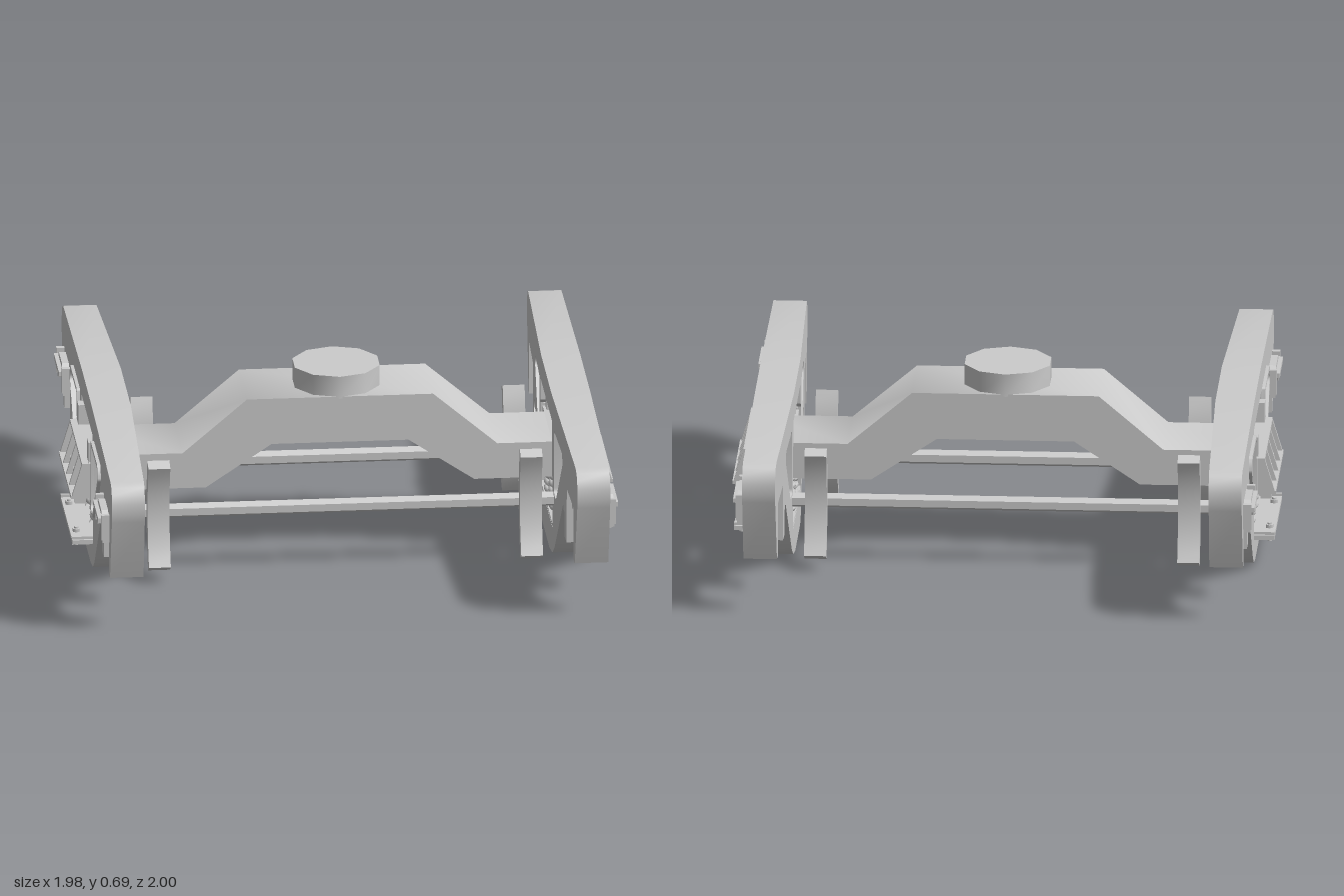
import * as THREE from 'three';
import { toCreasedNormals } from 'three/addons/utils/BufferGeometryUtils.js';

const material = new THREE.MeshStandardMaterial({ color: 0xcccccc });

function add(parent, name, geometry, x = 0, y = 0, z = 0) {
  const mesh = new THREE.Mesh(geometry, material);
  mesh.name = name;
  mesh.position.set(x, y, z);
  parent.add(mesh);
  return mesh;
}

// Box given by its limits on each axis
function block(parent, name, x0, x1, y0, y1, z0, z1) {
  return add(parent, name, new THREE.BoxGeometry(x1 - x0, y1 - y0, z1 - z0),
    (x0 + x1) / 2, (y0 + y1) / 2, (z0 + z1) / 2);
}

// Counter-clockwise shape, so that walls of holes face the right way
function shapeOf(pts) {
  const v = pts.map((p) => new THREE.Vector2(...p));
  return new THREE.Shape(THREE.ShapeUtils.isClockWise(v) ? v.reverse() : v);
}

// Extrude a (z, y) outline with optional holes along x
function extrudeX(outline, x0, x1, holes = []) {
  const turn = (pts) => shapeOf(pts.map(([z, y]) => [-z, y]));
  const shape = turn(outline);
  shape.holes = holes.map(turn);
  const g = new THREE.ExtrudeGeometry(shape, { depth: x1 - x0, bevelEnabled: false });
  g.translate(0, 0, x0).rotateY(Math.PI / 2);
  return toCreasedNormals(g, 0.6);
}

// Polygon with rounded corners
function roundedPoints(pts, r) {
  const path = new THREE.Path();
  const v = pts.map((p) => new THREE.Vector2(...p));
  v.forEach((p, i) => {
    const before = v[(i + v.length - 1) % v.length], after = v[(i + 1) % v.length];
    const a = p.clone().add(before.clone().sub(p).setLength(r));
    const b = p.clone().add(after.clone().sub(p).setLength(r));
    if (i === 0) path.moveTo(a.x, a.y); else path.lineTo(a.x, a.y);
    path.quadraticCurveTo(p.x, p.y, b.x, b.y);
  });
  return path.getPoints(4).map((p) => [p.x, p.y]);
}

const mirror = (pts) => pts.map(([a, b]) => [-a, b]);
const symmetric = (half) => [...half, ...mirror(half).reverse()];
const windowOuter = roundedPoints([[0.56, 0.465], [0.54, 0.518], [0.27, 0.518], [0.27, 0.255], [0.315, 0.237], [0.36, 0.25]], 0.016);
const windowInner = roundedPoints([[0.545, 0.465], [0.53, 0.503], [0.285, 0.503], [0.285, 0.267], [0.315, 0.252], [0.35, 0.262]], 0.014);

function sideFrame(side) {
  const half = [
    [0.15, 0], [0.24, 0.015], [0.30, 0.055], [0.34, 0.095], [0.565, 0.32], [0.58, 0.303], [0.60, 0.303],
    [0.612, 0.285], [0.612, 0.265], [0.60, 0.25], [0.60, 0.21], [0.67, 0.21], [0.675, 0.42], [0.885, 0.42],
    [0.885, 0.22], [0.92, 0.22], [0.995, 0.46], [1, 0.49], [1, 0.53], [0.99, 0.562], [0.972, 0.585],
    [0.94, 0.596], [0.2, 0.62],
  ];
  const opening = [[0.245, 0.11], [0.245, 0.42], [0.22, 0.44], [0.22, 0.52]];
  const g = extrudeX(symmetric(half), 0.765, 0.91, [windowInner, mirror(windowInner), symmetric(opening)]);
  // The inner face tapers towards the ends
  const p = g.attributes.position;
  for (let i = 0; i < p.count; i++) {
    if (p.getX(i) < 0.8) p.setX(i, 0.762 + 0.028 * Math.abs(p.getZ(i)));
  }
  add(side, 'sideFrame', g);

  for (const s of [-1, 1]) {
    // Raised lip around the triangular window
    const [outer, inner] = [windowOuter, windowInner].map((w) => (s > 0 ? w : mirror(w)));
    add(side, 'windowLip', extrudeX(outer, 0.9, 0.922, [inner]));

    // Guide strip beside the central opening
    const z = s * 0.245;
    block(side, 'columnGuide', 0.78, 0.925, 0.28, 0.42, z - 0.01, z + 0.01);

    // Arched axle bearing adapter
    const adapter = [[-0.108, 0.345], [-0.108, 0.425], [-0.085, 0.435], [-0.06, 0.455],
      [0.06, 0.455], [0.085, 0.435], [0.108, 0.425], [0.108, 0.345]];
    for (let i = 0; i <= 10; i++) {
      const a = Math.PI * i / 10;
      adapter.push([0.095 * Math.cos(a), 0.345 + 0.065 * Math.sin(a)]);
    }
    add(side, 'bearingAdapter', extrudeX(adapter, 0.8, 0.935), 0, 0, s * 0.78);
    block(side, 'adapterLip', 0.9, 0.95, 0.42, 0.437, s * 0.78 - 0.1, s * 0.78 + 0.1);
    for (const e of [-1, 1]) {
      const c = s * 0.78 + e * 0.112;
      block(side, 'adapterLug', 0.88, 0.94, 0.36, 0.455, c - 0.01, c + 0.01);
    }
  }
}

// Coil running up the y axis
class Helix extends THREE.Curve {
  constructor(radius, height, turns) {
    super();
    Object.assign(this, { radius, height, turns });
  }
  getPoint(t, target = new THREE.Vector3()) {
    const a = t * this.turns * Math.PI * 2;
    return target.set(this.radius * Math.cos(a), this.height * t, this.radius * Math.sin(a));
  }
}

function suspension(side) {
  block(side, 'springSeat', 0.77, 0.985, 0.105, 0.12, -0.24, 0.24);
  for (const s of [-1, 1]) {
    add(side, 'outerSpring', new THREE.TubeGeometry(new Helix(0.06, 0.145, 5), 100, 0.011, 6), 0.838, 0.13, s * 0.088);
    add(side, 'innerSpring', new THREE.TubeGeometry(new Helix(0.033, 0.145, 7), 110, 0.007, 5), 0.838, 0.13, s * 0.088);
    add(side, 'seatBolt', new THREE.CylinderGeometry(0.008, 0.008, 0.07, 8), 0.962, 0.105, s * 0.145);
    add(side, 'boltNut', new THREE.CylinderGeometry(0.016, 0.016, 0.014, 6), 0.962, 0.094, s * 0.145);
    add(side, 'boltHead', new THREE.CylinderGeometry(0.015, 0.015, 0.012, 6), 0.962, 0.127, s * 0.145);
    block(side, 'seatStop', 0.9, 0.985, 0.1, 0.13, s * 0.225 - 0.006, s * 0.225 + 0.006);
  }
}

function bolsterEnd(side) {
  block(side, 'endPlate', 0.9, 0.93, 0.28, 0.415, -0.24, 0.24);
  block(side, 'endShelf', 0.9, 0.99, 0.28, 0.292, -0.24, 0.24);
  block(side, 'endTop', 0.9, 0.95, 0.403, 0.415, -0.24, 0.24);
  block(side, 'endBody', 0.775, 0.91, 0.28, 0.415, -0.225, 0.225);
  // Triangular stiffening ribs
  for (let i = -2; i <= 2; i++) {
    const rib = shapeOf([[0.92, 0.285], [0.988, 0.285], [0.95, 0.41], [0.92, 0.41]]);
    const g = new THREE.ExtrudeGeometry(rib, { depth: 0.012, bevelEnabled: false });
    add(side, 'endRib', g, 0, 0, i * 0.117 - 0.006);
  }
  for (const s of [-1, 1]) {
    block(side, 'frictionWedge', 0.785, 0.925, 0.41, 0.49, s * 0.2 - 0.024, s * 0.2 + 0.024);
    const clip = [[-0.02, 0.29], [0.02, 0.29], [0.012, 0.335], [-0.012, 0.335]];
    add(side, 'springClip', extrudeX(clip, 0.925, 0.965), 0, 0, s * 0.06);
    block(side, 'shelfPad', 0.935, 0.975, 0.262, 0.282, s * 0.23 - 0.01, s * 0.23 + 0.01);
  }
}

function brake(parent) {
  // Hexagonal bar with an edge on top
  const bar = new THREE.CylinderGeometry(0.027, 0.027, 1.55, 6).rotateY(Math.PI / 2).rotateZ(Math.PI / 2);
  add(parent, 'brakeBeam', toCreasedNormals(bar, 0.5), 0, 0.2325, 0.262);
  // Curved shoes facing the wheels
  const pts = [];
  for (const [r, from, to] of [[0.455, 0.42, -0.53], [0.41, -0.53, 0.42]]) {
    for (let i = 0; i <= 10; i++) {
      const a = from + (to - from) * i / 10;
      pts.push([0.755 - r * Math.cos(a), 0.27 + r * Math.sin(a)]);
    }
  }
  for (const s of [-1, 1]) {
    add(parent, 'brakeShoe', extrudeX(pts, s * 0.68 - 0.04, s * 0.68 + 0.04));
    block(parent, 'brakeHead', s * 0.665 - 0.02, s * 0.665 + 0.02, 0.19, 0.30, 0.235, 0.32);
  }
}

function twoWays(root, name, build) {
  for (let i = 0; i < 2; i++) {
    const group = new THREE.Group();
    group.name = name;
    group.rotation.y = i * Math.PI;
    build(group);
    root.add(group);
  }
}

export function createModel() {
  const root = new THREE.Group();
  root.name = 'railTruck';

  // Cranked cross beam with softened bends
  const half = [[0.25, 0.44], [0.49, 0.28], [0.91, 0.28], [0.91, 0.415], [0.575, 0.415], [0.34, 0.615]];
  const beam = new THREE.ExtrudeGeometry(shapeOf(symmetric(half)), { depth: 0.32, bevelEnabled: false });
  add(root, 'bolster', toCreasedNormals(beam, 0.8), 0, 0, -0.16);
  add(root, 'centrePlate', toCreasedNormals(new THREE.CylinderGeometry(0.163, 0.163, 0.085, 10), 0.8), 0, 0.65, 0);

  twoWays(root, 'sideAssembly', (side) => {
    sideFrame(side);
    suspension(side);
    bolsterEnd(side);
  });
  twoWays(root, 'brakeAssembly', brake);
  return root;
}
